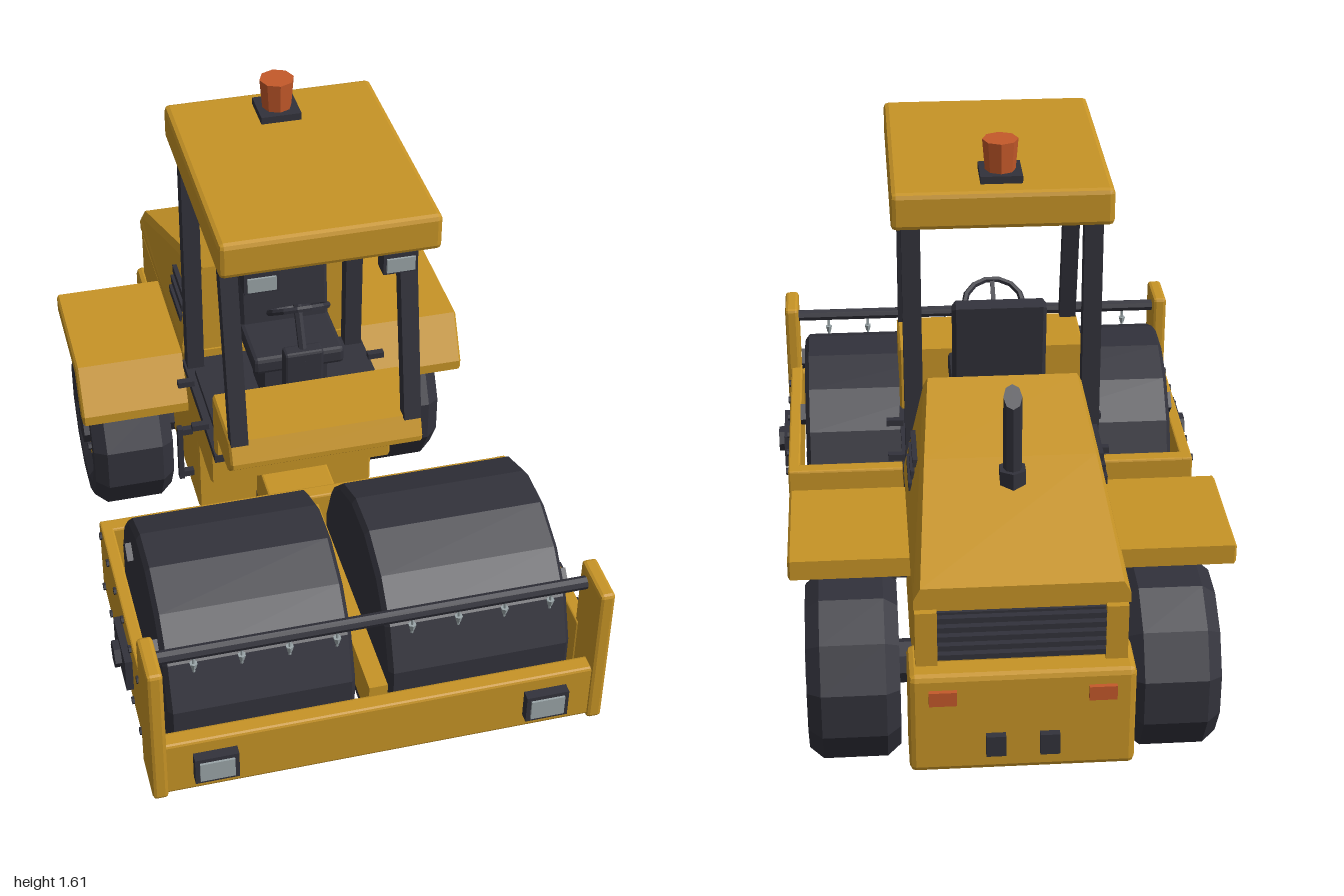
import * as THREE from 'three';
import { RoundedBoxGeometry } from 'three/addons/geometries/RoundedBoxGeometry.js';

const mat = (name, color) => {
  const m = new THREE.MeshStandardMaterial({ color });
  m.name = name;
  return m;
};

export function createModel() {
  const root = new THREE.Group();
  root.name = 'roadRoller';
  const yellow = mat('yellow paint', 0xc79426);
  const dark = mat('dark rubber and steel', 0x32323b);
  const glass = mat('lamp glass', 0x9aa5a8);
  const orange = mat('orange lamp', 0xc4592a);

  // Faceted mesh helper
  const add = (name, geo, material, x = 0, y = 0, z = 0) => {
    const g = geo.index ? geo.toNonIndexed() : geo;
    g.computeVertexNormals();
    const mesh = new THREE.Mesh(g, material);
    mesh.name = name;
    mesh.position.set(x, y, z);
    root.add(mesh);
    return mesh;
  };
  // Box given by its limits, with an optional chamfer
  const box = (name, m, x0, x1, y0, y1, z0, z1, r = 0) => {
    const s = [Math.abs(x1 - x0), y1 - y0, z1 - z0];
    const geo = r ? new RoundedBoxGeometry(...s, 1, r) : new THREE.BoxGeometry(...s);
    return add(name, geo, m, (x0 + x1) / 2, (y0 + y1) / 2, (z0 + z1) / 2);
  };
  // Side profile of [z, y] points extruded across x, with chamfered edges
  const profile = (name, m, pts, x0, x1, b = 0) => {
    const w = Math.abs(x1 - x0);
    const geo = new THREE.ExtrudeGeometry(new THREE.Shape(pts.map(p => new THREE.Vector2(...p))), {
      depth: w - 2 * b, bevelEnabled: b > 0, bevelSize: b, bevelThickness: b, bevelOffset: -b, bevelSegments: 1,
    });
    geo.translate(0, 0, b - w / 2).rotateY(-Math.PI / 2);
    return add(name, geo, m, (x0 + x1) / 2);
  };
  // Lathed wheel about the x axis, resting on a flat facet
  const wheel = (name, m, pts, n, x, y, z) => {
    const geo = new THREE.LatheGeometry(pts.map(p => new THREE.Vector2(p[0] / Math.cos(Math.PI / n), p[1])), n);
    return add(name, geo.rotateY(Math.PI / n).rotateZ(-Math.PI / 2), m, x, y, z);
  };
  const disc = (name, m, r, w, n, x, y, z, turn = 0) =>
    add(name, new THREE.CylinderGeometry(r, r, w, n).rotateY(turn).rotateZ(Math.PI / 2), m, x, y, z);
  const post = (name, m, rTop, rBottom, y0, y1, n, x, z) =>
    add(name, new THREE.CylinderGeometry(rTop, rBottom, y1 - y0, n), m, x, (y0 + y1) / 2, z);

  // Drum frame
  box('frontBeam', yellow, -0.58, 0.58, 0.215, 0.39, 0.915, 0.965, 0.008);
  box('rearBeam', yellow, -0.58, 0.58, 0.215, 0.45, 0.15, 0.195, 0.006);
  box('centreBeam', yellow, -0.025, 0.025, 0.3, 0.42, 0.19, 0.92);
  profile('scraper', yellow, [[0.95, 0.215], [0.93, 0.225], [0.855, 0.16], [0.865, 0.15]], -0.54, 0.54);
  add('sprinklerBar', new THREE.CylinderGeometry(0.018, 0.018, 1.14, 8).rotateZ(Math.PI / 2), dark, 0, 0.615, 0.87);

  for (const s of [1, -1]) {
    // Drum half with side bolts
    const h = 0.25;
    wheel('drum', dark, [[0, -h], [0.32, -h], [0.335, 0.012 - h], [0.335, h - 0.012], [0.32, h], [0, h]],
      16, s * 0.295, 0.335, 0.535);
    for (const dz of [-1, 1]) for (const dy of [-1, 1])
      disc('drumBolt', dark, 0.035, 0.02, 4, s * 0.552, 0.335 + dy * 0.187, 0.56 + dz * 0.187);

    // Side rail, end plate and hub
    box('sideRail', yellow, s * 0.565, s * 0.6, 0.215, 0.45, 0.15, 0.85, 0.005);
    box('endPlate', yellow, s * 0.57, s * 0.612, 0.205, 0.655, 0.825, 0.972, 0.01);
    box('hubPlate', dark, s * 0.595, s * 0.62, 0.285, 0.39, 0.475, 0.65);
    disc('hubNut', dark, 0.038, 0.03, 6, s * 0.623, 0.338, 0.56);
    for (let i = 0; i < 6; i++) for (const y of [0.235, 0.43])
      disc('railBolt', dark, 0.011, 0.01, 6, s * 0.602, y, 0.19 + i * 0.113);

    // Sprinkler nozzles
    for (let i = 0; i < 4; i++) {
      const x = s * (0.1 + i * 0.125);
      post('nozzleStem', glass, 0.004, 0.004, 0.545, 0.605, 5, x, 0.87);
      post('nozzle', glass, 0.011, 0.006, 0.555, 0.575, 6, x, 0.87);
    }
    // Headlight
    box('headlightFrame', dark, s * 0.387, s * 0.503, 0.262, 0.348, 0.96, 0.992);
    box('headlightGlass', glass, s * 0.399, s * 0.491, 0.274, 0.336, 0.99, 0.998);
  }

  // Articulated joint
  box('hitch', yellow, -0.1, 0.1, 0.265, 0.4, -0.05, 0.16, 0.006);
  post('pivotPin', dark, 0.03, 0.03, 0.19, 0.49, 8, 0, -0.03);
  for (const y of [0.2, 0.425]) box('pivotFlange', dark, -0.09, 0.09, y, y + 0.045, -0.1, 0.035);

  // Rear chassis
  profile('chassis', yellow, [[0.095, 0.625], [0.095, 0.475], [-0.1, 0.475], [-0.1, 0.215], [-0.84, 0.215],
    [-0.84, 0.49], [-0.91, 0.49], [-0.91, 0.66], [-0.27, 0.67], [-0.27, 0.625]], -0.265, 0.265, 0.006);
  box('counterweight', yellow, -0.285, 0.285, 0.21, 0.5, -0.978, -0.825, 0.016);
  box('grillePanel', dark, -0.21, 0.21, 0.515, 0.65, -0.918, -0.9);
  for (let i = 0; i < 5; i++) box('grilleBar', dark, -0.21, 0.21, 0.52 + i * 0.027, 0.535 + i * 0.027, -0.935, -0.91);
  for (const s of [1, -1]) {
    box('grilleEdge', yellow, s * 0.21, s * 0.265, 0.505, 0.66, -0.935, -0.9);
    box('tailLamp', orange, s * 0.165, s * 0.235, 0.42, 0.46, -0.99, -0.97);
    box('towSocket', dark, s * 0.043, s * 0.093, 0.265, 0.325, -0.997, -0.97);
  }

  // Engine hood from three cross-sections: z, top height, top half width
  const rings = [[-0.27, 0.965, 0.2], [-0.55, 0.875, 0.222], [-0.94, 0.735, 0.25]].map(([z, t, w]) =>
    [[-0.268, 0.675], [-0.268, 0.7], [-w - 0.012, t - 0.022], [-w, t], [w, t], [w + 0.012, t - 0.022], [0.268, 0.7], [0.268, 0.675]]
      .map(([x, y]) => [x, y, z]));
  const pos = [];
  const quad = (a, b, c, d) => pos.push(...a, ...b, ...c, ...a, ...c, ...d);
  for (let k = 0; k < 2; k++) for (let i = 0; i < 8; i++) {
    const j = (i + 1) % 8;
    quad(rings[k][i], rings[k][j], rings[k + 1][j], rings[k + 1][i]);
  }
  for (let i = 1; i < 7; i++) {
    pos.push(...rings[0][0], ...rings[0][i + 1], ...rings[0][i]);
    pos.push(...rings[2][0], ...rings[2][i], ...rings[2][i + 1]);
  }
  const hood = new THREE.BufferGeometry();
  hood.setAttribute('position', new THREE.Float32BufferAttribute(pos, 3));
  add('hood', hood, yellow);

  // Exhaust with a slanted tip
  post('exhaustCollar', dark, 0.038, 0.038, 0.82, 0.882, 6, 0, -0.62);
  const pipe = new THREE.CylinderGeometry(0.024, 0.024, 0.22, 8);
  const pp = pipe.attributes.position;
  for (let i = 0; i < pp.count; i++) if (pp.getY(i) > 0) pp.setY(i, 0.11 + pp.getZ(i) * 1.0);
  add('exhaustPipe', pipe, dark, 0, 0.975, -0.62);

  for (const s of [1, -1]) {
    // Hood louvres
    for (let i = 0; i < 3; i++)
      box('louvre', dark, s * 0.21, s * (0.262 - i * 0.006), 0.745 + i * 0.035, 0.768 + i * 0.035, -0.485, -0.325);

    // Rear wheel
    wheel('tyre', dark, [[0.15, -0.1], [0.175, -0.122], [0.215, -0.122], [0.245, -0.085], [0.245, 0.085],
      [0.215, 0.122], [0.175, 0.122], [0.15, 0.1]], 12, s * 0.422, 0.245, -0.535);
    wheel('rim', yellow, [[0, -0.1], [0.155, -0.1], [0.155, 0.1], [0, 0.1]], 12, s * 0.422, 0.245, -0.535);
    disc('wheelHub', dark, 0.058, 0.04, 6, s * 0.53, 0.245, -0.535);
    disc('axle', dark, 0.06, 0.14, 8, s * 0.28, 0.245, -0.535);
    for (let i = 0; i < 6; i++) {
      const a = (i + 0.35) * Math.PI / 3;
      disc('wheelNut', dark, 0.013, 0.015, 6, s * 0.526, 0.245 + 0.108 * Math.sin(a), -0.535 + 0.108 * Math.cos(a));
    }

    // Fender
    profile('fender', yellow, [[-0.225, 0.49], [-0.225, 0.52], [-0.3, 0.65], [-0.668, 0.655], [-0.668, 0.6],
      [-0.345, 0.6], [-0.275, 0.49]], s * 0.255, s * 0.58, 0.006);

    // Grab handle
    box('grabHandle', dark, s * 0.295, s * 0.31, 0.28, 0.47, -0.188, -0.165);
    for (const y of [0.295, 0.455]) box('handleMount', dark, s * 0.26, s * 0.3, y - 0.01, y + 0.01, -0.186, -0.167);
    for (const z of [0.055, -0.145]) box('platformPeg', dark, s * 0.26, s * 0.308, 0.65, 0.668, z - 0.01, z + 0.01);

    // Canopy posts and work lights
    box('rearPost', dark, s * 0.213, s * 0.262, 0.625, 1.41, -0.272, -0.225);
    profile('frontPost', dark, [[0.375, 0.835], [0.335, 0.835], [0.215, 1.41], [0.26, 1.41]], s * 0.215, s * 0.262);
    box('workLight', dark, s * 0.135, s * 0.225, 1.345, 1.405, 0.35, 0.4);
    box('workLightGlass', glass, s * 0.143, s * 0.217, 1.353, 1.393, 0.398, 0.406);
  }

  // Operator platform
  box('floor', dark, -0.268, 0.268, 0.62, 0.645, -0.272, 0.178);
  box('floorMat', dark, -0.25, 0.25, 0.66, 0.678, -0.18, 0.135);
  box('matSupport', dark, -0.2, 0.2, 0.64, 0.665, -0.15, 0.1);
  profile('frontCowl', yellow, [[0.385, 0.78], [0.36, 0.84], [0.15, 0.84], [0.15, 0.65], [0.182, 0.65],
    [0.182, 0.725], [0.34, 0.725], [0.385, 0.765]], -0.266, 0.266, 0.006);
  box('controlColumn', dark, -0.055, 0.055, 0.675, 0.92, 0.085, 0.13, 0.008);

  // Steering wheel
  const shaft = add('steeringShaft', new THREE.CylinderGeometry(0.012, 0.012, 0.16, 6), dark, 0, 0.955, 0.082);
  shaft.rotation.x = -0.5;
  const rim = add('steeringWheel', new THREE.TorusGeometry(0.082, 0.009, 6, 14), dark, 0, 1.02, 0.058);
  rim.rotation.x = 0.96;
  for (let i = 0; i < 3; i++) {
    const spoke = new THREE.BoxGeometry(0.012, 0.08, 0.008).translate(0, 0.04, 0).rotateZ(i * Math.PI * 2 / 3);
    add('steeringSpoke', spoke, dark, 0, 1.02, 0.058).rotation.x = 0.96;
  }

  // Seat
  box('seatBase', dark, -0.09, 0.09, 0.67, 0.83, -0.12, 0.03);
  box('seatCushion', dark, -0.13, 0.13, 0.82, 0.872, -0.14, 0.072, 0.012);
  profile('seatBack', dark, [[-0.095, 0.84], [-0.13, 1.115], [-0.14, 1.128], [-0.18, 1.12], [-0.15, 0.84]], -0.127, 0.127, 0.01);

  // Canopy and beacon
  box('canopy', yellow, -0.288, 0.288, 1.4, 1.502, -0.298, 0.402, 0.014);
  box('beaconBase', dark, -0.055, 0.055, 1.5, 1.522, -0.24, -0.13);
  post('beacon', orange, 0.047, 0.04, 1.52, 1.605, 8, 0, -0.185);

  return root;
}
